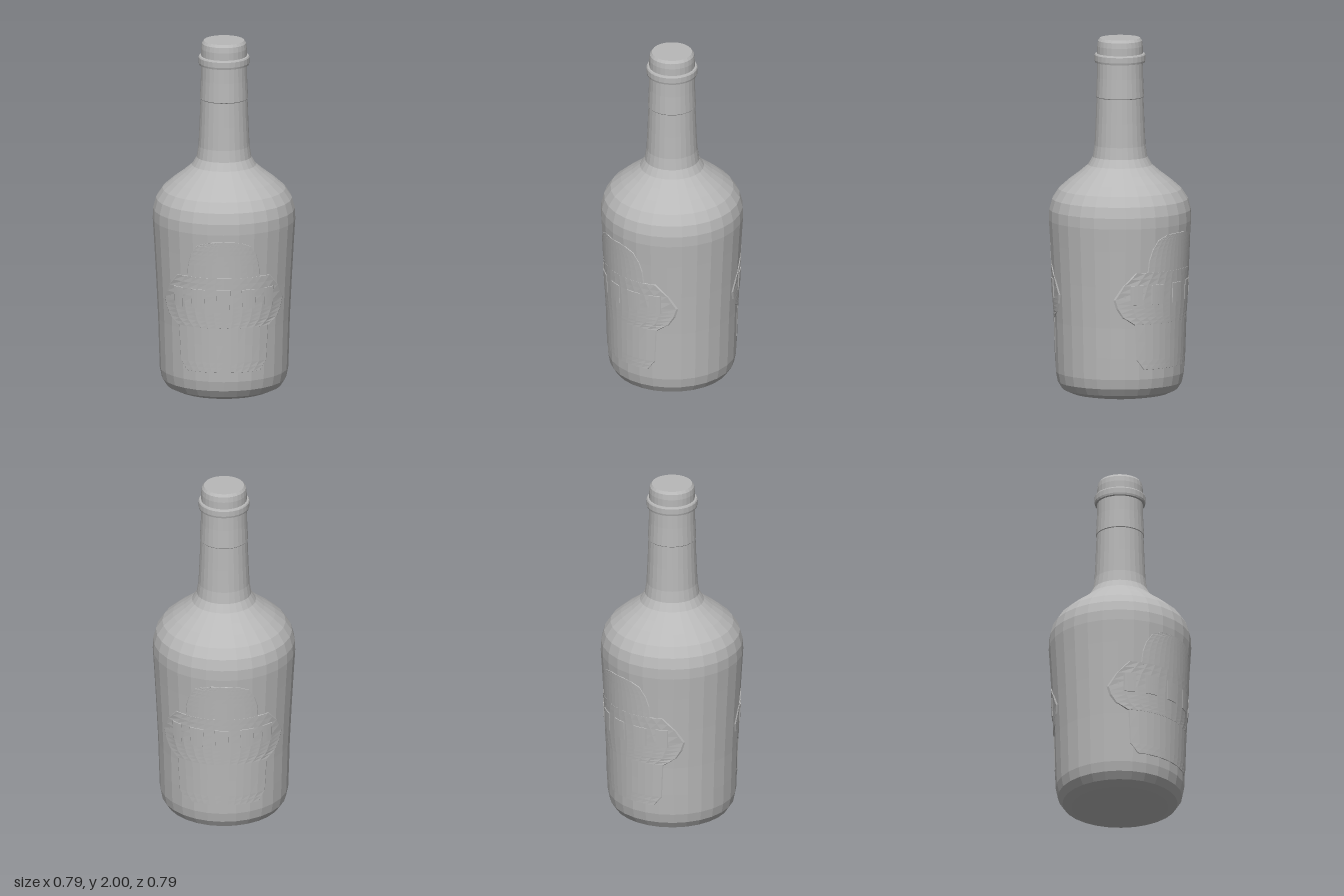
import * as THREE from 'three';

const SIDES = 28;

// Bottle outline as [radius, height], from the base up to the neck
const BODY = [
  [0, 0.005], [0.2, 0], [0.27, 0.012], [0.32, 0.035], [0.346, 0.075], [0.357, 0.13],
  [0.361, 0.25], [0.366, 0.42], [0.377, 0.65], [0.388, 0.85], [0.396, 0.98], [0.394, 1.04],
  [0.378, 1.1], [0.342, 1.155], [0.285, 1.205], [0.225, 1.25], [0.178, 1.29],
  [0.152, 1.335], [0.142, 1.4], [0.136, 1.53], [0.131, 1.67],
];
const FOIL = [[0.131, 1.668], [0.134, 1.672], [0.129, 1.78], [0.127, 1.88]];
const RING = [[0.124, 1.862], [0.139, 1.864], [0.142, 1.875], [0.142, 1.905], [0.138, 1.912], [0.122, 1.914]];
const CAP = [[0.127, 1.9], [0.127, 1.955], [0.123, 1.985], [0.112, 2], [0, 2]];

// Value of a [value, height] outline at height y
function sample(outline, y) {
  for (let i = 1; i < outline.length; i++) {
    const [v0, y0] = outline[i - 1];
    const [v1, y1] = outline[i];
    if (y >= y0 && y <= y1 && y1 > y0) return v0 + ((v1 - v0) * (y - y0)) / (y1 - y0);
  }
  return outline[outline.length - 1][0];
}

// Thin raised patch that hugs the bottle; its rim sinks into the glass
function reliefGeometry(outline, raise, centerX = 0) {
  const cols = 14;
  const low = outline[0][1];
  const high = outline[outline.length - 1][1];
  const inner = [];
  for (let i = 1; i < outline.length; i++) {
    const [a, b] = [outline[i - 1][1], outline[i][1]];
    inner.push(a, (a + b) / 2);
  }
  const heights = [low - 0.003, ...inner, high, high + 0.003].reverse();
  const geo = new THREE.PlaneGeometry(1, 1, cols, heights.length - 1);
  const pos = geo.attributes.position;
  heights.forEach((y, row) => {
    const half = sample(outline, Math.min(high, Math.max(low, y)));
    for (let c = 0; c <= cols; c++) {
      const rim = c === 0 || c === cols || row === 0 || row === heights.length - 1;
      const t = THREE.MathUtils.clamp((c - 1) / (cols - 2), 0, 1) * 2 - 1;
      const x = centerX + t * half + (c === 0 ? -0.003 : c === cols ? 0.003 : 0);
      const r = sample(BODY, y) + (rim ? -0.005 : raise);
      pos.setXYZ(row * (cols + 1) + c, x, y, Math.sqrt(Math.max(0, r * r - x * x)));
    }
  });
  geo.computeVertexNormals();
  return geo;
}

export function createModel() {
  const model = new THREE.Group();
  model.name = 'bottle';
  const grey = new THREE.MeshStandardMaterial({ color: 0xb8b8b8, flatShading: true });
  grey.name = 'plain grey';

  const add = (parent, name, geometry) => {
    const mesh = new THREE.Mesh(geometry, grey);
    mesh.name = name;
    parent.add(mesh);
  };

  // Turned parts
  for (const [name, outline] of Object.entries({ body: BODY, neckFoil: FOIL, neckRing: RING, cap: CAP })) {
    add(model, name, new THREE.LatheGeometry(outline.map(([r, y]) => new THREE.Vector2(r, y)), SIDES));
  }

  // Matching label reliefs on the front and back
  for (const side of ['front', 'back']) {
    const label = new THREE.Group();
    label.name = side + 'Label';
    label.rotation.y = side === 'back' ? Math.PI : 0;
    add(label, 'lowerPanel', reliefGeometry([[0.2, 0.185], [0.235, 0.24], [0.245, 0.44]], 0.002));
    add(label, 'arch', reliefGeometry(
      [[0.2, 0.72], [0.195, 0.8], [0.18, 0.86], [0.15, 0.91], [0.1, 0.932], [0.06, 0.938]], 0.002));
    add(label, 'banner', reliefGeometry(
      [[0.25, 0.44], [0.295, 0.48], [0.315, 0.53], [0.325, 0.58], [0.3, 0.66], [0.255, 0.73]], 0.003));
    // Row of small plain blocks across the banner
    for (const x of [-0.25, -0.14, 0, 0.14, 0.25]) {
      const half = Math.abs(x) > 0.2 ? 0.025 : 0.038;
      add(label, 'bannerBlock', reliefGeometry([[half * 0.9, 0.55], [half, 0.66]], 0.006, x));
    }
    model.add(label);
  }
  return model;
}
